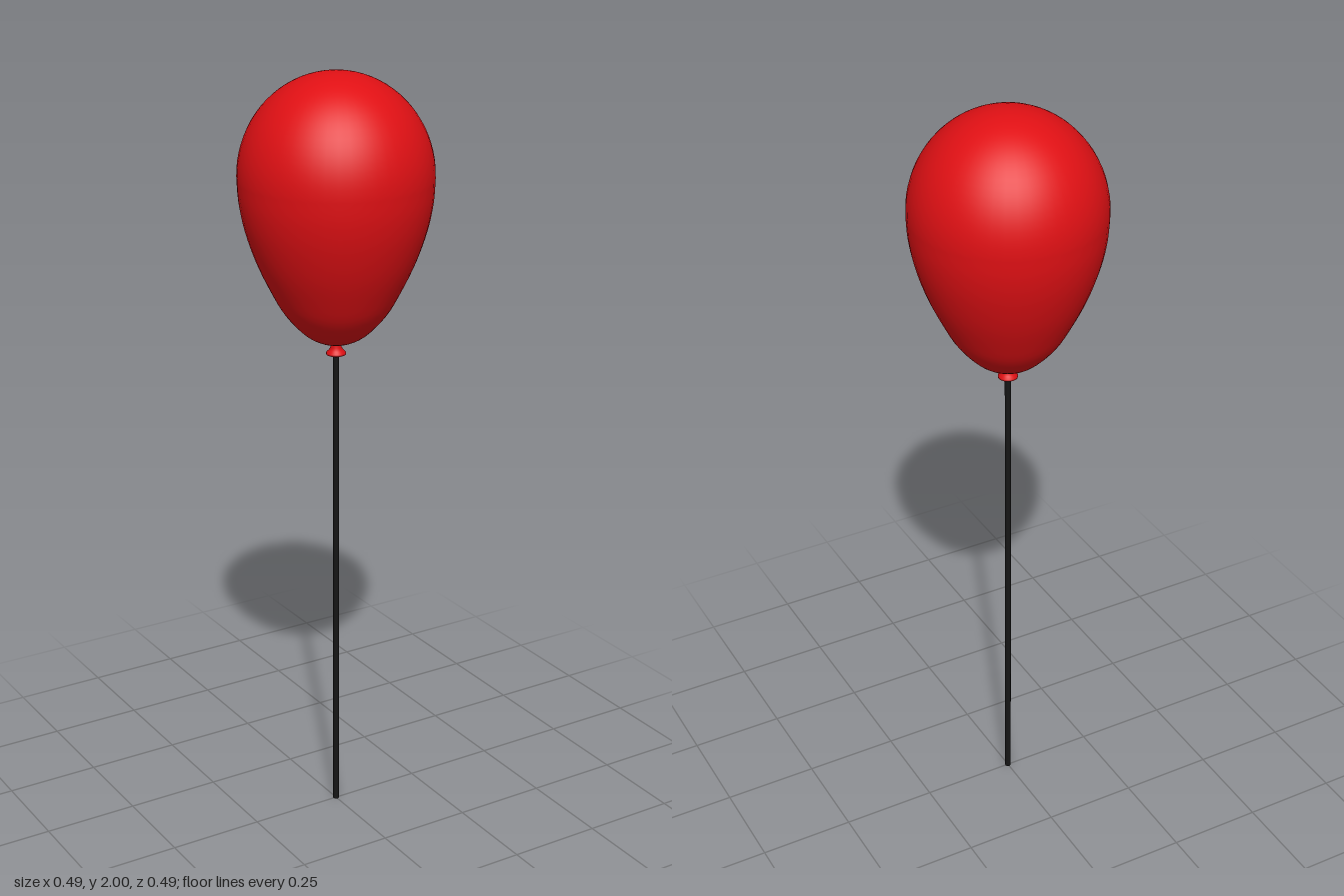
import * as THREE from 'three';

const v = (x, y) => new THREE.Vector2(x, y);

export function createModel() {
  const group = new THREE.Group();
  const red = new THREE.MeshStandardMaterial({ color: 0xe01014, side: THREE.DoubleSide });
  const black = new THREE.MeshStandardMaterial({ color: 0x151515 });

  const add = (name, geometry, material) => {
    const mesh = new THREE.Mesh(geometry, material);
    mesh.name = name;
    group.add(mesh);
    return mesh;
  };

  // Balloon: tapered lower half as a spline, domed upper half as an ellipse
  const widestY = 1.743, radius = 0.245;
  const lower = new THREE.SplineCurve([
    v(0, 1.311), v(0.035, 1.316), v(0.08, 1.34), v(0.13, 1.394), v(0.165, 1.455),
    v(0.2, 1.53), v(0.227, 1.61), v(0.241, 1.68), v(radius, widestY),
  ]).getPoints(32);
  const upper = [];
  for (let i = 1; i <= 20; i++) {
    const a = (i / 20) * Math.PI / 2;
    upper.push(v(i === 20 ? 0 : radius * Math.cos(a), widestY + (2 - widestY) * Math.sin(a)));
  }
  add('balloon', new THREE.LatheGeometry([...lower, ...upper], 48), red);

  // Knot: short neck flaring to a rolled lip
  const knot = [
    v(0, 1.283), v(0.018, 1.281), v(0.025, 1.284), v(0.025, 1.289),
    v(0.019, 1.295), v(0.014, 1.303), v(0.015, 1.316),
  ];
  add('knot', new THREE.LatheGeometry(knot, 32), red);

  // String: thin straight rod down to the ground
  const height = 1.29;
  add('string', new THREE.CylinderGeometry(0.008, 0.008, height, 16), black).position.y = height / 2;

  return group;
}
